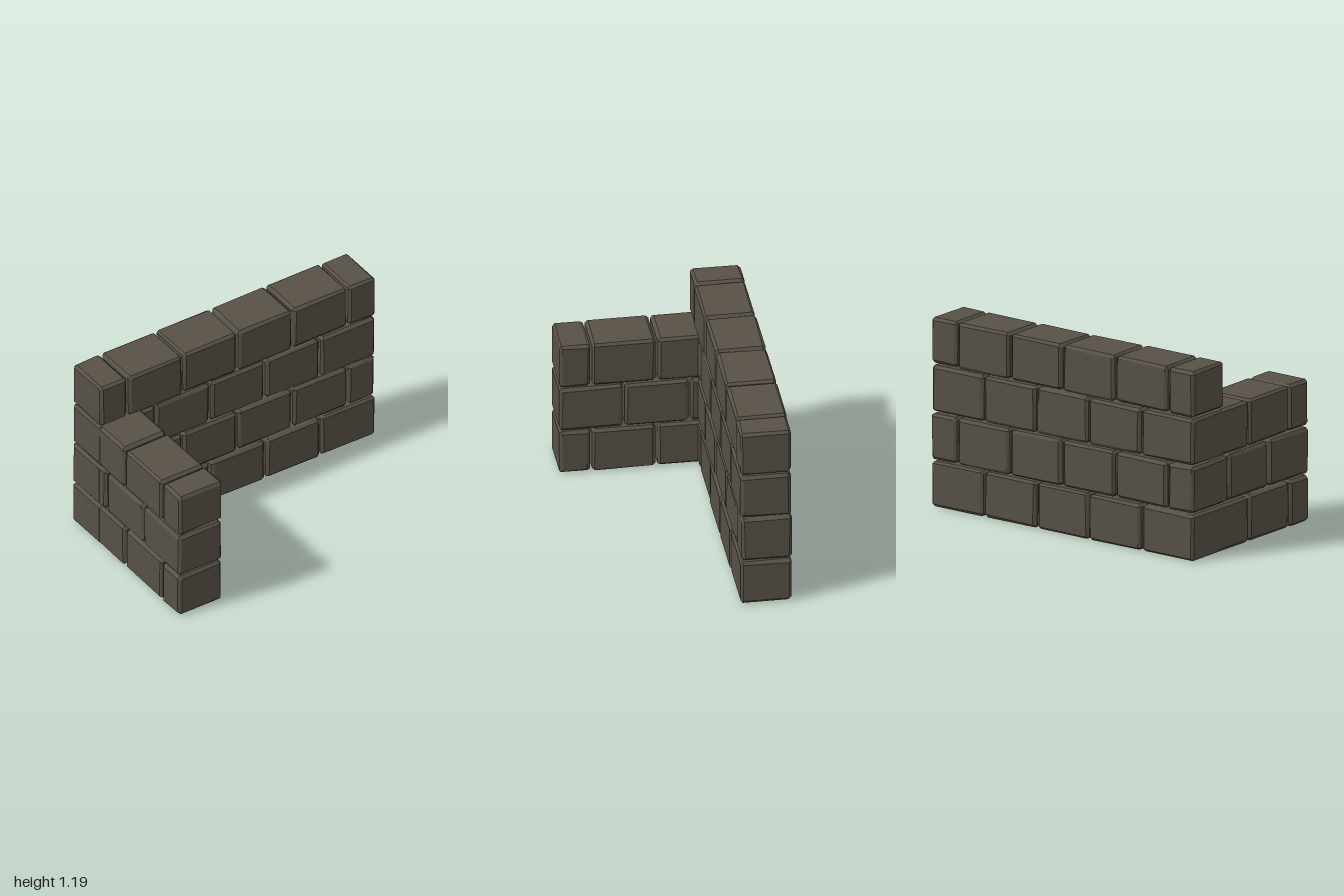
import * as THREE from 'three';
import { ConvexGeometry } from 'three/addons/geometries/ConvexGeometry.js';

const stone = new THREE.MeshStandardMaterial({ color: 0x575146 });
stone.name = 'dark stone';

// Small seeded generator for hand-cut irregularity
let seed = 7;
function rand(min, max) {
  seed = (seed * 16807) % 2147483647;
  return min + (max - min) * (seed / 2147483647);
}

// Chamfered block: each corner becomes three points, one on each adjoining face
function brick(name, min, max) {
  const centre = min.map((v, i) => (v + max[i]) / 2);
  const half = min.map((v, i) => (max[i] - v) / 2);
  const points = [];
  for (const sx of [-1, 1]) for (const sy of [-1, 1]) for (const sz of [-1, 1]) {
    const sign = [sx, sy, sz];
    for (let face = 0; face < 3; face++) {
      const p = half.map((h, i) => sign[i] * (i === face ? h : h - rand(0.012, 0.022)));
      points.push(new THREE.Vector3(...p));
    }
  }
  const mesh = new THREE.Mesh(new ConvexGeometry(points), stone);
  mesh.name = name;
  mesh.position.set(...centre);
  return mesh;
}

export function createModel() {
  seed = 7;
  const model = new THREE.Group();
  model.name = 'cornerWall';
  const courseHeight = 0.3, gap = 0.006;

  // Joint positions for alternating courses
  const longJoints = [
    [-1, -0.6, -0.2, 0.2, 0.6, 1],
    [-1, -0.8, -0.4, 0, 0.4, 0.8, 1],
  ];
  const shortJoints = [
    [-0.41, -0.015, 0.385, 0.58],
    [-0.41, -0.215, 0.185, 0.58],
  ];

  for (let row = 0; row < 4; row++) {
    const y0 = row * courseHeight + 0.004, y1 = y0 + 0.288;

    // Long back wall
    const backWall = new THREE.Group();
    backWall.name = 'backWallCourse' + (row + 1);
    const xs = longJoints[row % 2];
    for (let i = 0; i < xs.length - 1; i++) {
      const shift = rand(-0.004, 0.004);
      const x0 = xs[i] + (i ? gap : 0.002);
      const x1 = xs[i + 1] - (i < xs.length - 2 ? gap : 0.002);
      backWall.add(brick('backBrick', [x0, y0, -0.574 + shift], [x1, y1, -0.264 + shift]));
    }
    model.add(backWall);

    // Short return wall, one course lower
    if (row === 3) continue;
    const sideWall = new THREE.Group();
    sideWall.name = 'sideWallCourse' + (row + 1);
    const zs = shortJoints[row % 2];
    for (let i = 0; i < zs.length - 1; i++) {
      const shift = rand(-0.003, 0.003);
      const z0 = zs[i] + gap;
      const z1 = zs[i + 1] - (i < zs.length - 2 ? gap : 0.002);
      sideWall.add(brick('sideBrick', [-0.996 + shift, y0, z0], [-0.684 + shift, y1, z1]));
    }
    model.add(sideWall);
  }
  return model;
}
